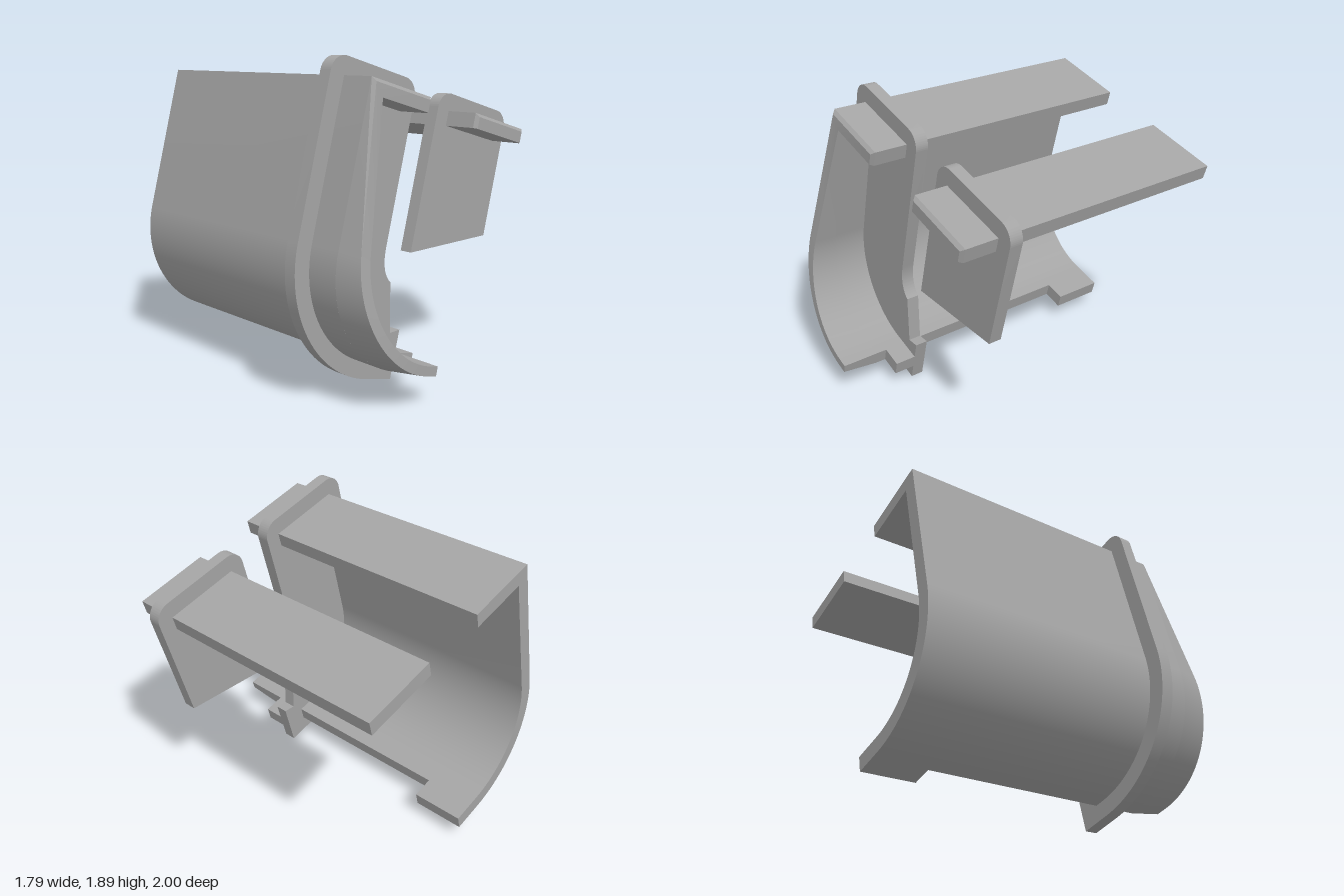
import * as THREE from 'three';
import { toCreasedNormals } from 'three/addons/utils/BufferGeometryUtils.js';

const T = 0.09;                 // sheet thickness
const FLANGE = 0.48;            // top flange width
const BASE = -1.53;             // bottom of the channel
const R = 0.626;                // outer bend radius
const BEND = BASE + R;          // height where the bend starts
const LIP = 0.69;               // end of the bottom lip
const Z0 = 0.77;                // where the bevelled front rim starts
const SEG = 28;

const grey = new THREE.MeshStandardMaterial({ color: 0xa4a4a4 });
grey.name = 'grey';

function add(parent, name, geometry) {
  const mesh = new THREE.Mesh(toCreasedNormals(geometry, 0.45), grey);
  mesh.name = name;
  parent.add(mesh);
  return mesh;
}

function extrude(parent, name, shape, z0, z1) {
  const g = new THREE.ExtrudeGeometry(shape, { depth: z1 - z0, bevelEnabled: false, curveSegments: SEG });
  return add(parent, name, g.translate(0, 0, z0));
}

function box(parent, name, x0, x1, y0, y1, z0, z1) {
  const g = new THREE.BoxGeometry(x1 - x0, y1 - y0, z1 - z0);
  return add(parent, name, g.translate((x0 + x1) / 2, (y0 + y1) / 2, (z0 + z1) / 2));
}

// Front rim: each station holds outer, bevelled outer, and two inner points
function rim(parent, name, stations) {
  const rings = stations.map(({ o, i, bo, bi, z }) => [
    [o[0], o[1], Z0], [bo[0], bo[1], z], [bi[0], bi[1], z], [i[0], i[1], Z0],
  ]);
  const pos = [];
  const quad = (a, b, c, d) => pos.push(...a, ...b, ...c, ...a, ...c, ...d);
  for (let s = 0; s < rings.length - 1; s++) {
    const p = rings[s], q = rings[s + 1];
    for (let k = 0; k < 3; k++) quad(p[k], q[k], q[k + 1], p[k + 1]);
  }
  const first = rings[0], last = rings[rings.length - 1];
  quad(...first);
  quad(last[0], last[3], last[2], last[1]);
  const g = new THREE.BufferGeometry();
  g.setAttribute('position', new THREE.Float32BufferAttribute(pos, 3));
  g.computeVertexNormals();
  return add(parent, name, g);
}

// Rounded upper part of a cover plate, drawn from upper right to upper left
function plateTop(shape) {
  shape.lineTo(0.577, 0);
  shape.absarc(0.477, 0.005, 0.1, 0, Math.PI / 2, false);
  shape.lineTo(0, 0.105);
  shape.absarc(0, 0.005, 0.1, Math.PI / 2, Math.PI, false);
}

function channelProfile() {
  const s = new THREE.Shape();
  s.moveTo(FLANGE, 0);
  s.lineTo(0, 0);
  s.lineTo(0, BEND);
  s.absarc(R, BEND, R, Math.PI, Math.PI * 1.5, false);
  s.lineTo(LIP, BASE);
  s.lineTo(LIP, BASE + T);
  s.lineTo(R, BASE + T);
  s.absarc(R, BEND, R - T, Math.PI * 1.5, Math.PI, true);
  s.lineTo(T, -T);
  s.lineTo(FLANGE, -T);
  s.closePath();
  return s;
}

function channelRim() {
  const frontZ = (v) => 0.79 + 0.21 * (v / BASE);
  const list = [
    { o: [FLANGE, 0], i: [FLANGE, -T], bo: [FLANGE - 0.02, -0.02], bi: [FLANGE - 0.02, -T], z: 0.79 },
    { o: [0, 0], i: [T, -T], bo: [0.02, -0.02], bi: [T, -T], z: 0.79 },
  ];
  // bend, growing a slightly deeper bevel towards the bottom
  for (let k = 0; k <= SEG; k++) {
    const a = Math.PI * (1 + 0.5 * k / SEG), c = Math.cos(a), n = Math.sin(a);
    const at = (r) => [R + r * c, BEND + r * n];
    const bevel = 0.02 + 0.015 * k / SEG;
    list.push({ o: at(R), i: at(R - T), bo: at(R - bevel), bi: at(R - T), z: frontZ(BEND + R * n) });
  }
  const end = [LIP, BASE + T];
  list.push({ o: [LIP, BASE], i: end, bo: [LIP, BASE + 0.035], bi: end, z: 1 });
  return list;
}

function tiltedGroup(name, x, y) {
  const g = new THREE.Group();
  g.name = name;
  g.position.set(x, y, 0);
  g.rotation.z = -Math.PI / 12;
  return g;
}

export function createModel() {
  const model = new THREE.Group();
  model.name = 'channelBracket';

  // Curved channel with its cover plate
  const channel = tiltedGroup('curvedChannel', -0.538, 1.794);
  extrude(channel, 'channelSheet', channelProfile(), -1, Z0);
  rim(channel, 'channelFrontRim', channelRim());
  box(channel, 'rearTab', LIP, 0.827, BASE, BASE + T, -1, -0.67);
  box(channel, 'frontTab', LIP, 0.827, BASE, BASE + T, 0.487, 0.7);

  const plate = new THREE.Shape();
  plate.moveTo(0.827, -1.63);
  plate.lineTo(0.827, -1.333);
  plate.lineTo(0.748, -1.356);
  plate.lineTo(0.669, -1.059);
  plate.quadraticCurveTo(0.577, -1.01, 0.577, -0.86);
  plateTop(plate);
  plate.lineTo(-0.1, BEND);
  plate.absarc(R, BEND, R + 0.1, Math.PI, Math.PI * 1.5, false);
  plate.closePath();
  extrude(channel, 'channelPlate', plate, 0.487, 0.567);
  model.add(channel);

  // Straight bar with its smaller plate
  const bar = tiltedGroup('straightBar', 0.33, 1.563);
  box(bar, 'barSheet', 0, FLANGE, -T, 0, -1, Z0);
  rim(bar, 'barFrontRim', [
    { o: [FLANGE, 0], i: [FLANGE, -T], bo: [FLANGE - 0.02, -0.02], bi: [FLANGE - 0.02, -T], z: 0.79 },
    { o: [0, 0], i: [0, -T], bo: [0.02, -0.02], bi: [0.02, -T], z: 0.79 },
  ]);
  const small = new THREE.Shape();
  small.moveTo(-0.1, -0.873);
  small.lineTo(0.577, -0.692);
  plateTop(small);
  small.closePath();
  extrude(bar, 'barPlate', small, 0.487, 0.567);
  model.add(bar);

  return model;
}
